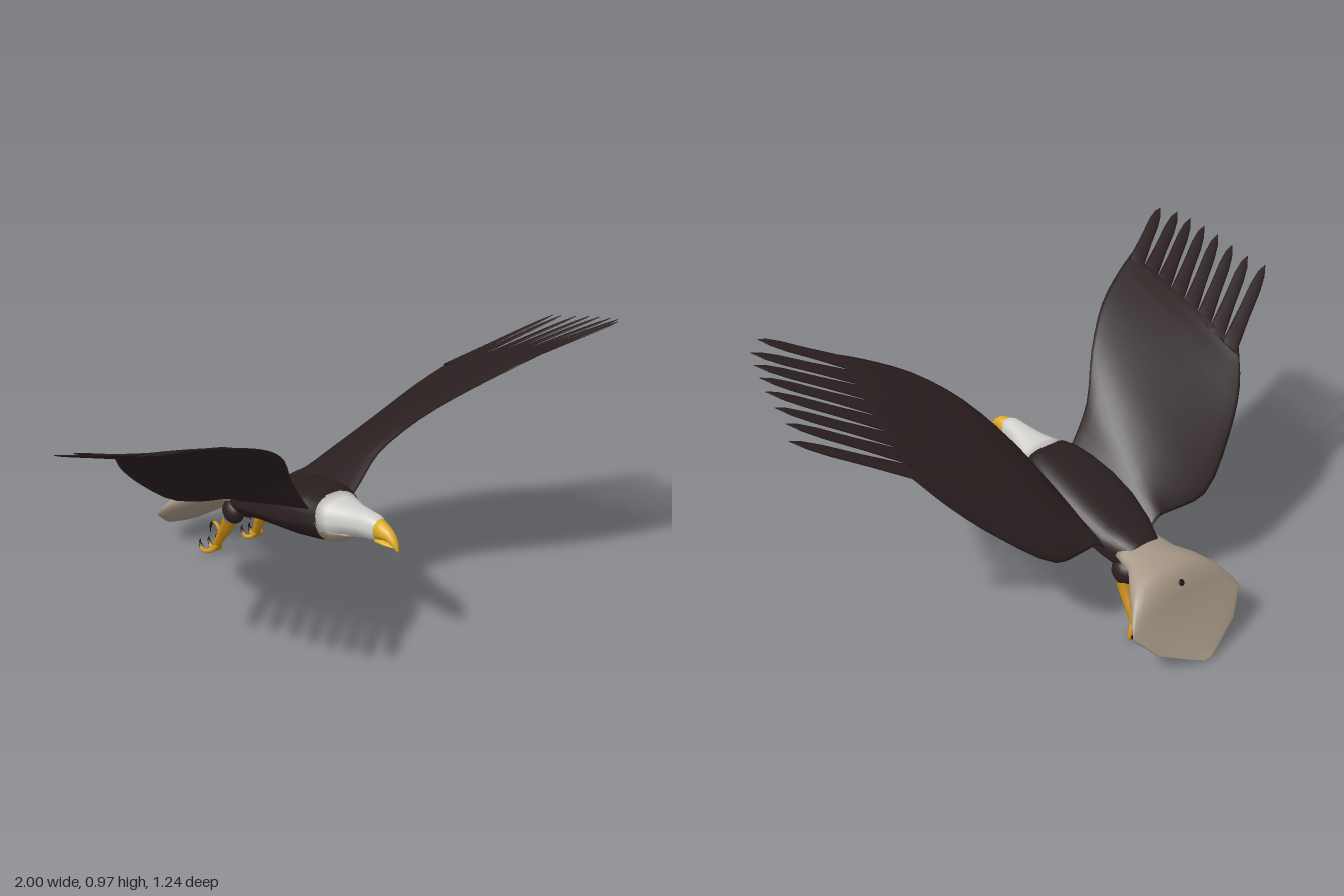
import * as THREE from 'three';

const mat = (name, color, side = THREE.FrontSide) => {
  const m = new THREE.MeshStandardMaterial({ color, side });
  m.name = name;
  return m;
};
const V = (x, y, z) => new THREE.Vector3(x, y, z);

// Skin a list of closed rings (same point count) and cap both ends
function loft(rings) {
  const n = rings[0].length, pos = [], idx = [];
  rings.forEach(r => r.forEach(p => pos.push(p.x, p.y, p.z)));
  for (let i = 0; i < rings.length - 1; i++) for (let j = 0; j < n; j++) {
    const a = i * n + j, b = i * n + (j + 1) % n;
    idx.push(a, a + n, b, b, a + n, b + n);
  }
  [0, rings.length - 1].forEach((r, end) => {
    const c = rings[r].reduce((s, p) => s.add(p), V(0, 0, 0)).divideScalar(n);
    const k = pos.length / 3;
    pos.push(c.x, c.y, c.z);
    for (let j = 0; j < n; j++) {
      const a = r * n + j, b = r * n + (j + 1) % n;
      if (end) idx.push(k, b, a); else idx.push(k, a, b);
    }
  });
  const g = new THREE.BufferGeometry();
  g.setAttribute('position', new THREE.Float32BufferAttribute(pos, 3));
  g.setIndex(idx);
  g.computeVertexNormals();
  return g;
}

// Sections from front to back: [z, top, bottom, halfWidth, edgeHeight, tilt]
// flat below 1 squares off the upper half and narrows the lower half
function bodyLoft(sections, n = 24, flat = 1) {
  const power = (v, e) => Math.sign(v) * Math.abs(v) ** e;
  return loft(sections.map(([z, top, bot, w, edge = (top + bot) / 2, tilt = 0]) =>
    Array.from({ length: n }, (_, j) => {
      const a = j / n * Math.PI * 2, e = Math.sin(a) > 0 ? flat : 2 - flat;
      const c = power(Math.cos(a), e), s = power(Math.sin(a), e);
      return V(c * w, edge + s * (s > 0 ? top - edge : edge - bot), z - s * tilt);
    })));
}

// Sections from root to tip: { L: leading point, T: trailing point, h: half thickness, camber }
function wingLoft(sections, n = 16) {
  return loft(sections.map(({ L, T, h, camber = 0 }, i) => {
    const mid = s => s.L.clone().add(s.T).multiplyScalar(0.5);
    const span = mid(sections[Math.min(i + 1, sections.length - 1)]).sub(mid(sections[Math.max(i - 1, 0)]));
    const chord = L.clone().sub(T), up = chord.clone().cross(span).normalize();
    return Array.from({ length: n }, (_, j) => {
      const a = j / n * Math.PI * 2, s = Math.sin(a);
      return mid({ L, T }).addScaledVector(chord, Math.cos(a) / 2).addScaledVector(up, s * h + s * s * camber);
    });
  }));
}

// Tube that narrows from r0 to r1 along the points
function taperTube(points, r0, r1) {
  const curve = new THREE.CatmullRomCurve3(points.map(p => V(...p)));
  const seg = 10, rad = 8, g = new THREE.TubeGeometry(curve, seg, 1, rad);
  const p = g.attributes.position, v = V(0, 0, 0);
  for (let i = 0; i <= seg; i++) {
    const c = curve.getPointAt(i / seg), r = r0 + (r1 - r0) * i / seg;
    for (let j = 0; j <= rad; j++) {
      const k = i * (rad + 1) + j;
      v.fromBufferAttribute(p, k).sub(c).multiplyScalar(r).add(c);
      p.setXYZ(k, v.x, v.y, v.z);
    }
  }
  return g;
}

function mirrorX(geometry) {
  const g = geometry.clone().scale(-1, 1, 1), ix = g.index.array;
  for (let i = 0; i < ix.length; i += 3) [ix[i], ix[i + 1]] = [ix[i + 1], ix[i]];
  g.computeVertexNormals();
  return g;
}

export function createModel() {
  const model = new THREE.Group();
  model.name = 'bird';
  const brown = mat('darkBrown', 0x2b1f20);
  const white = mat('headWhite', 0xd2d0cc);
  const beige = mat('tailBeige', 0xa59685);
  const yellow = mat('beakYellow', 0xdfae28);
  const ochre = mat('legOchre', 0xc48a10);
  const black = mat('clawBlack', 0x1c1716, THREE.DoubleSide);

  const add = (name, g, m) => {
    const mesh = new THREE.Mesh(g, m);
    mesh.name = name;
    model.add(mesh);
  };
  const addPair = (name, g, m) => {
    add('left' + name, g, m);
    add('right' + name, mirrorX(g), m);
  };

  // Head and neck, with a tan patch under the throat
  add('head', bodyLoft([
    [0.466, 0.424, 0.366, 0.018], [0.455, 0.434, 0.36, 0.027], [0.43, 0.442, 0.352, 0.036],
    [0.38, 0.439, 0.342, 0.042], [0.32, 0.434, 0.322, 0.056],
    [0.27, 0.434, 0.295, 0.078, 0.37, 0.015], [0.235, 0.438, 0.278, 0.095, 0.36, 0.025]
  ], 28, 0.8), white);
  add('throat', bodyLoft([
    [0.335, 0.335, 0.325, 0.018, 0.332], [0.32, 0.345, 0.319, 0.036, 0.334],
    [0.275, 0.35, 0.292, 0.07, 0.337, 0.015], [0.237, 0.35, 0.275, 0.087, 0.335, 0.022]
  ], 24, 0.8), beige);

  // Broad-backed body, ending below the tail
  add('body', bodyLoft([
    [0.24, 0.436, 0.279, 0.093, 0.36, 0.025], [0.18, 0.438, 0.255, 0.112, 0.35, 0.01],
    [0.1, 0.427, 0.236, 0.128], [0, 0.405, 0.224, 0.136], [-0.1, 0.372, 0.209, 0.131],
    [-0.2, 0.332, 0.182, 0.112], [-0.26, 0.315, 0.155, 0.088],
    [-0.3, 0.305, 0.16, 0.072], [-0.325, 0.27, 0.165, 0.07], [-0.39, 0.225, 0.165, 0.04]
  ], 32, 0.65), brown);

  // Fanned tail
  add('tail', bodyLoft([
    [-0.258, 0.296, 0.235, 0.09, 0.262, 0.012], [-0.28, 0.298, 0.215, 0.092, 0.26, 0.012],
    [-0.34, 0.292, 0.19, 0.104, 0.25], [-0.4, 0.287, 0.155, 0.15, 0.228],
    [-0.44, 0.278, 0.13, 0.178, 0.205], [-0.47, 0.262, 0.11, 0.2, 0.185],
    [-0.5, 0.21, 0.09, 0.223, 0.158], [-0.52, 0.155, 0.076, 0.235, 0.138],
    [-0.57, 0.08, 0.044, 0.165, 0.065], [-0.605, 0.03, 0.02, 0.07, 0.026],
    [-0.625, 0.01, 0.007, 0.015, 0.008]
  ], 32), beige);
  add('tailSpot', new THREE.SphereGeometry(0.012, 12, 8).scale(1, 0.35, 1).rotateX(-0.9).translate(0, 0.237, -0.485), black);

  // Hooked beak
  add('upperBeak', bodyLoft([
    [0.544, 0.368, 0.353, 0.003], [0.538, 0.387, 0.359, 0.009], [0.525, 0.403, 0.37, 0.014],
    [0.505, 0.419, 0.377, 0.019], [0.48, 0.429, 0.374, 0.024], [0.452, 0.437, 0.365, 0.03]
  ], 16), yellow);
  add('lowerBeak', bodyLoft([
    [0.522, 0.368, 0.361, 0.004], [0.49, 0.37, 0.357, 0.015], [0.45, 0.374, 0.355, 0.022]
  ], 12), yellow);

  // Wings: leading and trailing point, half thickness, camber
  const stations = [
    [[0.06, 0.36, 0.2], [0.08, 0.25, -0.22], 0.012, 0],
    [[0.12, 0.44, 0.208], [0.135, 0.3, -0.22], 0.016, 0],
    [[0.18, 0.535, 0.225], [0.2, 0.3, -0.22], 0.018, 0.014],
    [[0.28, 0.67, 0.32], [0.325, 0.325, -0.24], 0.015, 0.022],
    [[0.41, 0.775, 0.42], [0.5, 0.46, -0.17], 0.012, 0.018],
    [[0.55, 0.845, 0.487], [0.62, 0.58, -0.09], 0.009, 0.012],
    [[0.63, 0.878, 0.515], [0.695, 0.675, 0], 0.005, 0.003]
  ];
  const leading = new THREE.CatmullRomCurve3(stations.map(s => V(...s[0])));
  const trailing = new THREE.CatmullRomCurve3(stations.map(s => V(...s[1])));
  const depth = new THREE.SplineCurve(stations.map(s => new THREE.Vector2(s[2], s[3])));
  const steps = 18;
  addPair('Wing', wingLoft(Array.from({ length: steps + 1 }, (_, i) => {
    const t = i / steps, d = depth.getPoint(t);
    return { L: leading.getPoint(t), T: trailing.getPoint(t), h: d.x, camber: d.y };
  }), 20), brown);

  // Eight separated flight feathers on each wing
  const L = leading.getPoint(1), T = trailing.getPoint(1);
  const tips = [
    [0.855, 0.965, 0.615], [0.905, 0.95, 0.572], [0.925, 0.935, 0.52], [0.94, 0.92, 0.46],
    [0.955, 0.902, 0.4], [0.965, 0.88, 0.33], [0.972, 0.86, 0.255], [1, 0.838, 0.19]
  ];
  const shape = [[-0.08, 1], [0.1, 0.92], [0.35, 0.78], [0.7, 0.7], [0.88, 0.48], [1, 0.04]];
  tips.forEach((tip, i) => {
    const root = L.clone().lerp(T, (i + 0.5) / 8);
    const half = L.clone().sub(T).divideScalar(16);
    addPair('Feather' + (i + 1), wingLoft(shape.map(([t, w]) => {
      const c = root.clone().lerp(V(...tip), t);
      return { L: c.clone().addScaledVector(half, w), T: c.clone().addScaledVector(half, -w), h: 0.001 + 0.004 * w };
    }), 8), brown);
  });

  // Thighs, legs, toes and claws
  addPair('Thigh', new THREE.SphereGeometry(1, 16, 12).scale(0.034, 0.045, 0.05).translate(0.068, 0.195, -0.275), brown);
  addPair('Leg', taperTube([[0.073, 0.165, -0.285], [0.076, 0.13, -0.3], [0.082, 0.08, -0.33], [0.088, 0.025, -0.36]], 0.029, 0.013), ochre);
  [0.057, 0.09, 0.128].forEach((x, i) => {
    const m = (x + 0.088) / 2;
    addPair('Toe' + (i + 1), taperTube([[0.088, 0.035, -0.35], [m, 0.014, -0.362], [x, 0.01, -0.382], [x, 0.024, -0.398]], 0.011, 0.007), ochre);
    addPair('Claw' + (i + 1), taperTube([[x, 0.02, -0.395], [x, 0.035, -0.405], [x, 0.05, -0.4]], 0.008, 0.001), black);
  });
  addPair('HindToe', taperTube([[0.084, 0.07, -0.335], [0.084, 0.098, -0.34], [0.086, 0.116, -0.355], [0.088, 0.118, -0.373]], 0.011, 0.006), ochre);
  addPair('HindClaw', taperTube([[0.088, 0.118, -0.371], [0.088, 0.105, -0.388], [0.088, 0.08, -0.395], [0.088, 0.065, -0.392]], 0.007, 0.001), black);

  return model;
}
